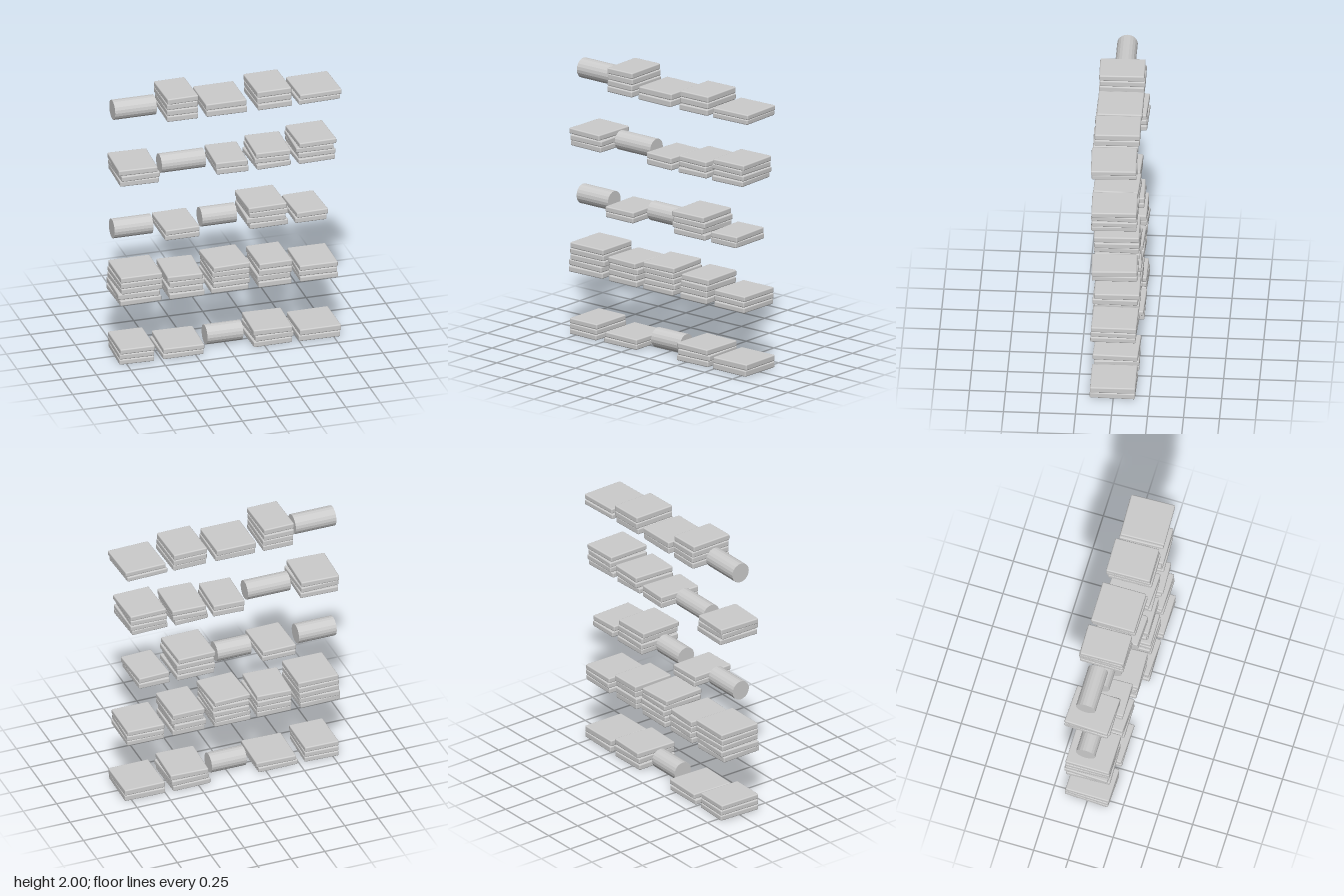
import * as THREE from 'three';
import { RoundedBoxGeometry } from 'three/addons/geometries/RoundedBoxGeometry.js';

const DEPTH = 0.315;
const ROW_SPACING = 0.4555;

// Rows from bottom to top; each item is [centre x, width, height, layers], 0 layers being a roll
const ROWS = [
  [[-0.675, 0.25, 0.12, 3], [-0.337, 0.295, 0.08, 2], [-0.008, 0.26, 0.142, 0], [0.31, 0.28, 0.13, 3], [0.655, 0.3, 0.092, 2]],
  [[-0.649, 0.3, 0.214, 5], [-0.316, 0.255, 0.174, 4], [0.004, 0.27, 0.206, 5], [0.322, 0.24, 0.18, 4], [0.64, 0.275, 0.122, 3]],
  [[-0.67, 0.281, 0.14, 0], [-0.352, 0.25, 0.082, 2], [-0.049, 0.252, 0.14, 0], [0.273, 0.28, 0.17, 4], [0.582, 0.23, 0.085, 2]],
  [[-0.659, 0.28, 0.127, 3], [-0.308, 0.32, 0.138, 0], [0.017, 0.23, 0.09, 2], [0.312, 0.25, 0.122, 3], [0.624, 0.27, 0.159, 4]],
  [[-0.656, 0.302, 0.143, 0], [-0.341, 0.225, 0.178, 4], [-0.026, 0.295, 0.095, 2], [0.316, 0.25, 0.138, 3], [0.643, 0.305, 0.077, 2]],
];

// Seeded value in -1..1 for the casual stacking
function makeJitter(seed) {
  let state = seed;
  return () => {
    state = (state * 16807) % 2147483647;
    return (state / 2147483647) * 2 - 1;
  };
}

export function createModel() {
  const model = new THREE.Group();
  model.name = 'foldedClothDisplay';
  const cloth = new THREE.MeshStandardMaterial({ color: 0xcccccc });
  cloth.name = 'pale grey cloth';
  const jitter = makeJitter(4217);

  // Rolled cloth: a faceted cylinder lying along x
  function makeRoll(x, width, height) {
    const geometry = new THREE.CylinderGeometry(height / 2, height / 2, width, 20).toNonIndexed();
    geometry.computeVertexNormals();
    const roll = new THREE.Mesh(geometry, cloth);
    roll.name = 'rolledCloth';
    roll.rotation.z = Math.PI / 2;
    roll.position.set(x, height / 2, -0.007);
    return roll;
  }

  // Pile of folded cloths, each slightly turned and shifted
  function makeStack(x, width, height, layers) {
    const stack = new THREE.Group();
    stack.name = 'clothStack';
    stack.position.x = x;
    const pitch = height / layers;
    const geometry = new RoundedBoxGeometry(width, pitch * 0.97, DEPTH, 2, 0.009);
    for (let i = 0; i < layers; i++) {
      const fold = new THREE.Mesh(geometry, cloth);
      fold.name = 'foldedCloth';
      fold.rotation.y = jitter() * 0.045;
      fold.position.set(jitter() * 0.008, pitch * (i + 0.5), jitter() * 0.006);
      stack.add(fold);
    }
    return stack;
  }

  ROWS.forEach((items, i) => {
    const row = new THREE.Group();
    row.name = 'clothRow';
    row.position.y = i * ROW_SPACING;
    for (const [x, width, height, layers] of items) {
      row.add(layers ? makeStack(x, width, height, layers) : makeRoll(x, width, height));
    }
    model.add(row);
  });
  return model;
}
